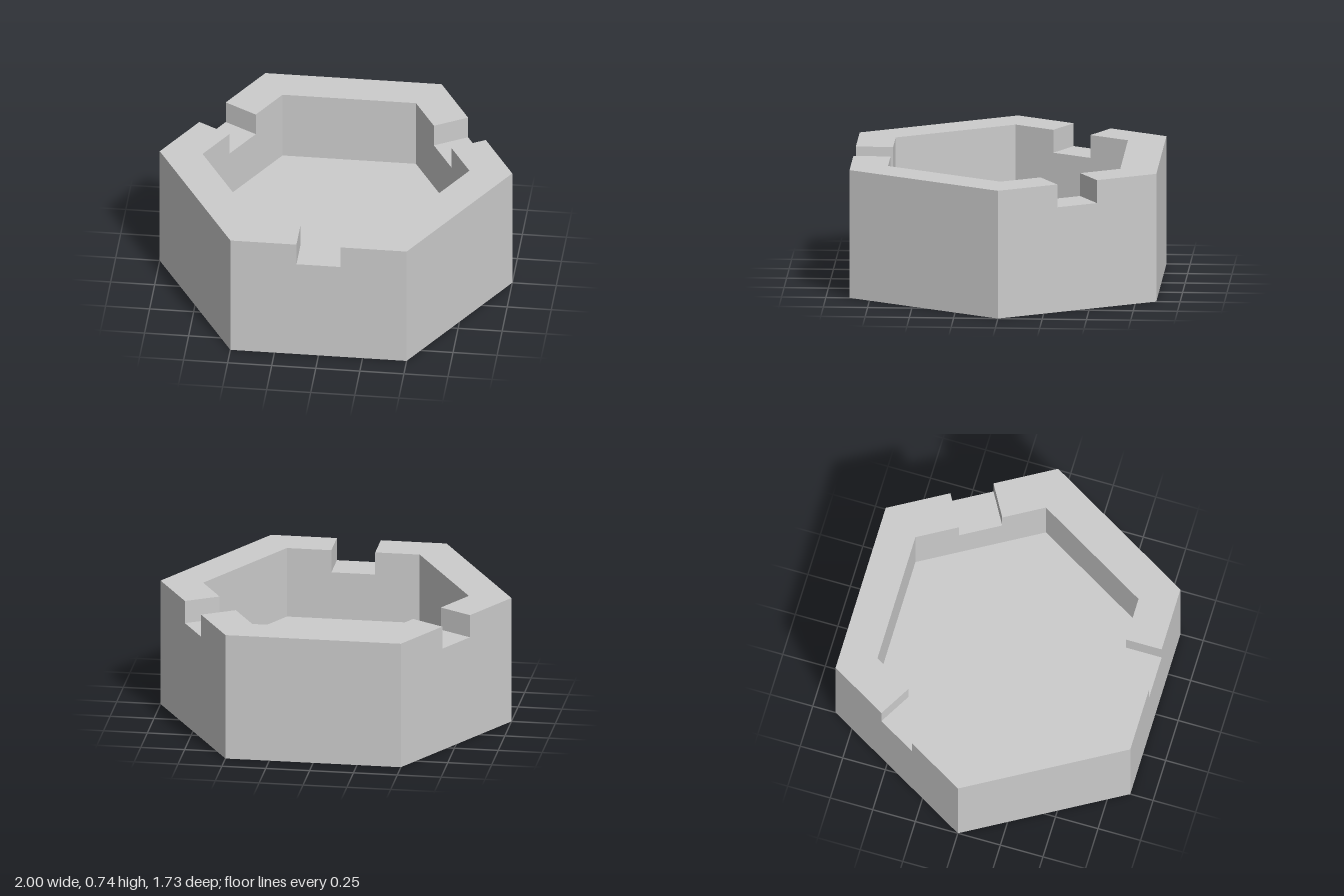
import * as THREE from 'three';

const HEIGHT = 0.737, FLOOR = 0.328, NOTCH_Y = 0.605, NOTCH_HALF = 0.125;
const OUTER = 1, INNER = 0.757; // corner radii of the hexagons
const APOTHEM = Math.sqrt(3) / 2;

// One sixth of the cup, facing +z: outer wall, inner wall, rim, floor and underside
function sideGeometry(notched) {
  const pos = [];
  const tri = (...pts) => pts.forEach((p) => pos.push(...p));
  const quad = (a, b, c, d) => { tri(a, b, c); tri(a, c, d); };

  // Rim line from left corner to right corner, dipping into the notch
  const rim = (r) => [
    [-r / 2, HEIGHT],
    ...(notched ? [
      [-NOTCH_HALF, HEIGHT], [-NOTCH_HALF, NOTCH_Y],
      [NOTCH_HALF, NOTCH_Y], [NOTCH_HALF, HEIGHT],
    ] : []),
    [r / 2, HEIGHT],
  ];
  const out = rim(OUTER), inn = rim(INNER);
  const zo = OUTER * APOTHEM, zi = INNER * APOTHEM;

  for (let i = 0; i < out.length - 1; i++) {
    const [a, b] = [out[i], out[i + 1]];
    const [c, d] = [inn[i], inn[i + 1]];
    // rim, notch sides and notch bed
    quad([...a, zo], [...b, zo], [...d, zi], [...c, zi]);
    if (a[0] === b[0]) continue;
    // outer and inner wall below this stretch of rim
    quad([a[0], 0, zo], [b[0], 0, zo], [...b, zo], [...a, zo]);
    quad([d[0], FLOOR, zi], [c[0], FLOOR, zi], [...c, zi], [...d, zi]);
  }
  // floor and underside wedges
  tri([0, FLOOR, 0], [-INNER / 2, FLOOR, zi], [INNER / 2, FLOOR, zi]);
  tri([0, 0, 0], [OUTER / 2, 0, zo], [-OUTER / 2, 0, zo]);

  const geo = new THREE.BufferGeometry();
  geo.setAttribute('position', new THREE.Float32BufferAttribute(pos, 3));
  geo.computeVertexNormals();
  return geo;
}

export function createModel() {
  const group = new THREE.Group();
  group.name = 'hexagonalCup';
  const material = new THREE.MeshStandardMaterial({ color: 0xcccccc, flatShading: true });
  const notchedSide = sideGeometry(true), plainSide = sideGeometry(false);

  // Every other side carries a notch, starting with the front
  for (let k = 0; k < 6; k++) {
    const notched = k % 2 === 0;
    const side = new THREE.Mesh(notched ? notchedSide : plainSide, material);
    side.name = notched ? 'notchedSide' : 'plainSide';
    side.rotation.y = k * Math.PI / 3;
    group.add(side);
  }
  return group;
}
